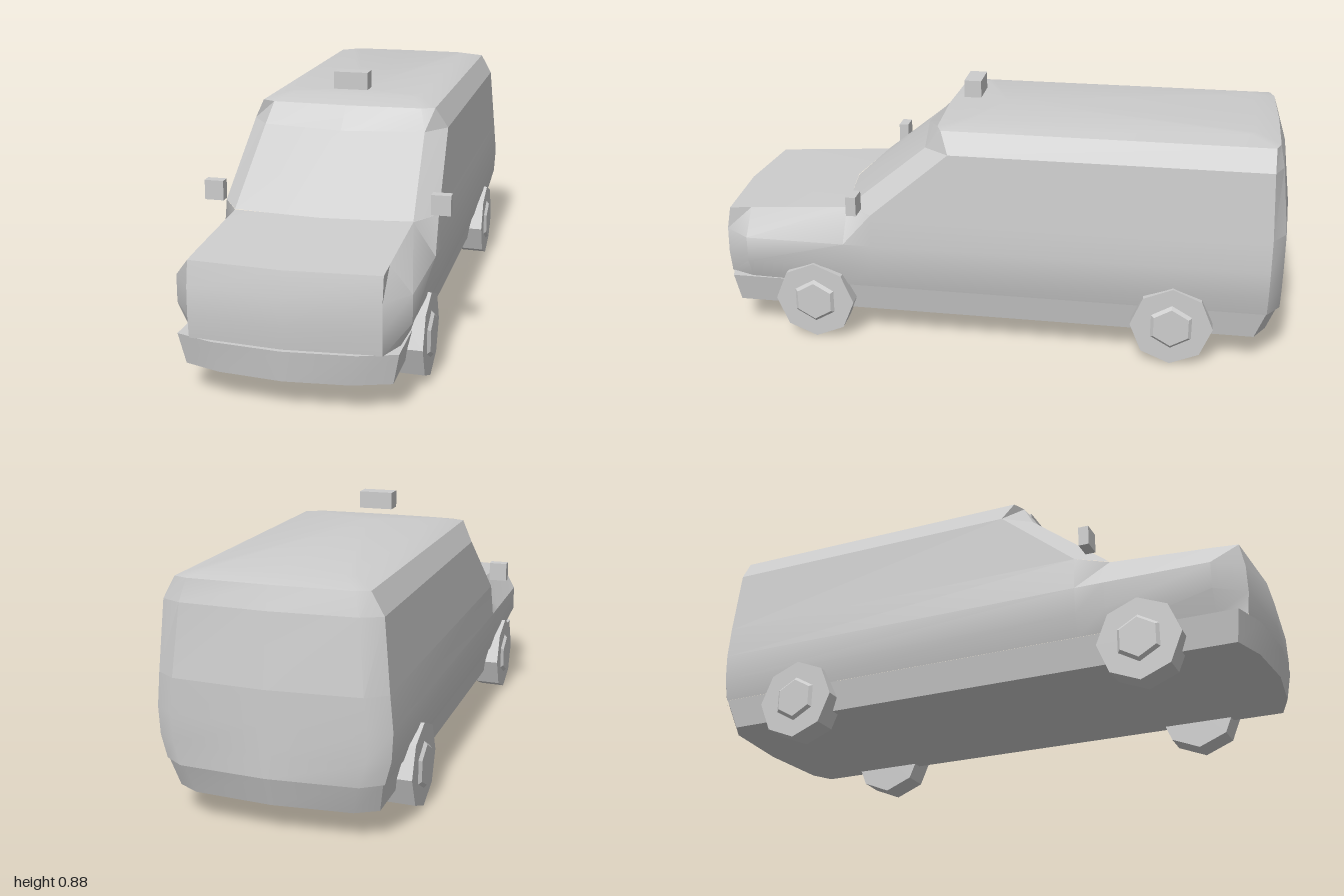
import * as THREE from 'three';
import { toCreasedNormals } from 'three/addons/utils/BufferGeometryUtils.js';

const paint = new THREE.MeshStandardMaterial({ color: 0xcccccc });
paint.name = 'light grey';

function add(parent, name, geometry) {
  const mesh = new THREE.Mesh(geometry, paint);
  mesh.name = name;
  parent.add(mesh);
  return mesh;
}

// Mirrors a half outline (front centre to rear centre, +x side) into a full ring
const ring = (half) => [...half, ...half.slice(1, -1).reverse().map(([x, y, z]) => [-x, y, z])];
// Mirrors a half row (centre to +x) into a row from -x to +x
const row = (half) => [...half.slice(1).reverse().map(([x, y, z]) => [-x, y, z]), ...half];

// Skins consecutive rows; optional end caps are fans around the ring centre
function loft(rows, { closed = true, bottom = false, top = false, crease = 0.5 } = {}) {
  const pos = [];
  const tri = (a, b, c) => pos.push(...a, ...b, ...c);
  const n = rows[0].length;
  for (let j = 0; j < rows.length - 1; j++) {
    for (let i = 0; i < (closed ? n : n - 1); i++) {
      const k = (i + 1) % n;
      tri(rows[j][i], rows[j][k], rows[j + 1][k]);
      tri(rows[j][i], rows[j + 1][k], rows[j + 1][i]);
    }
  }
  const cap = (r, up) => {
    const mid = [0, r.reduce((s, p) => s + p[1], 0) / n, 0];
    for (let i = 0; i < n; i++) {
      const k = (i + 1) % n;
      if (up) tri(mid, r[i], r[k]); else tri(mid, r[k], r[i]);
    }
  };
  if (bottom) cap(rows[0], false);
  if (top) cap(rows[rows.length - 1], true);
  const g = new THREE.BufferGeometry();
  g.setAttribute('position', new THREE.Float32BufferAttribute(pos, 3));
  return toCreasedNormals(g, crease);
}

export function createModel() {
  const van = new THREE.Group();
  van.name = 'van';

  // Bumper and sill band with the flat floor
  const skirt = (y, w, f, r) => ring([
    [0, y, f], [w - 0.12, y, f - 0.02], [w, y, f - 0.06],
    [w, y, r + 0.06], [w - 0.07, y, r + 0.02], [0, y, r],
  ]);
  add(van, 'bumperSkirt', loft(
    [skirt(0.095, 0.325, 0.985, -0.96), skirt(0.197, 0.345, 1, -0.995)], { bottom: true, top: true }));

  // Lower body: sill, bulging flanks, shoulder and belt line
  const flank = (y, nose, corner, side, mid) => ring([
    [0, y, nose], [0.3, y, nose - 0.025], [corner, y, 0.87], [mid, y, 0.52],
    [side, y, 0.42], [side, y, -0.935], [side - 0.065, y, -0.98], [0, y, -1],
  ]);
  const belt = ring([
    [0, 0.44, 0.972], [0.3, 0.44, 0.95], [0.3, 0.447, 0.87], [0.3, 0.47, 0.52],
    [0.365, 0.472, 0.42], [0.365, 0.472, -0.935], [0.3, 0.472, -0.98], [0, 0.472, -1],
  ]);
  add(van, 'lowerBody', loft([
    flank(0.195, 0.985, 0.335, 0.35, 0.35),
    flank(0.27, 0.992, 0.37, 0.37, 0.37),
    flank(0.36, 0.99, 0.37, 0.375, 0.374),
    belt,
  ], { crease: 0.6 }));

  // Hood between the nose and the windscreen foot
  add(van, 'hood', loft([
    row([[0, 0.44, 0.972], [0.3, 0.44, 0.95]]),
    row([[0, 0.449, 0.87], [0.3, 0.447, 0.87]]),
    row([[0, 0.475, 0.56], [0.3, 0.47, 0.52]]),
  ], { closed: false }));

  // Cabin: windscreen, flat sides and leaning tailgate
  const cabin = (y, c, f, fx, fz, sx, sz, rz, rx, rcz, rc) => ring([
    [c, y, f], [fx, y, fz], [sx, y, sz], [sx, y, rz], [rx, y, rcz], [0, y, rc],
  ]);
  const eaves = cabin(0.7, 0, 0.285, 0.28, 0.24, 0.345, 0.15, -0.925, 0.28, -0.955, -0.97);
  add(van, 'cabin', loft([
    cabin(0.472, 0, 0.56, 0.3, 0.52, 0.365, 0.42, -0.935, 0.3, -0.98, -1), eaves,
  ]));

  // Roof: sloping rim rising to a nearly flat panel
  add(van, 'roof', loft([
    eaves,
    cabin(0.772, 0, 0.21, 0.26, 0.2, 0.305, 0.18, -0.925, 0.26, -0.94, -0.945),
    cabin(0.792, 0, 0.11, 0.21, 0.105, 0.235, 0.09, -0.84, 0.21, -0.86, -0.865),
  ], { top: true, crease: 0.35 }));

  // Floating roof lamp
  add(van, 'roofLamp', new THREE.BoxGeometry(0.12, 0.06, 0.06)).position.set(0, 0.845, 0.115);

  for (const s of [1, -1]) {
    const side = s > 0 ? 'left' : 'right';
    // Door mirrors
    add(van, side + 'Mirror', new THREE.BoxGeometry(0.065, 0.067, 0.035))
      .position.set(s * 0.383, 0.522, 0.472);

    // Eight-sided wheels with six-sided hub caps
    for (const [end, z] of [['Front', 0.63], ['Rear', -0.62]]) {
      const wheel = new THREE.Group();
      wheel.name = side + end + 'Wheel';
      wheel.position.set(s * 0.337, 0.14, z);
      wheel.rotation.z = -s * Math.PI / 2;
      const tyre = new THREE.CylinderGeometry(0.14, 0.138, 0.092, 8).rotateY(Math.PI / 2);
      add(wheel, 'tyre', toCreasedNormals(tyre, 0.5));
      const hub = new THREE.CylinderGeometry(0.068, 0.082, 0.012, 6).rotateY(Math.PI / 2);
      add(wheel, 'hubCap', toCreasedNormals(hub, 0.5)).position.y = 0.05;
      van.add(wheel);
    }
  }
  return van;
}
